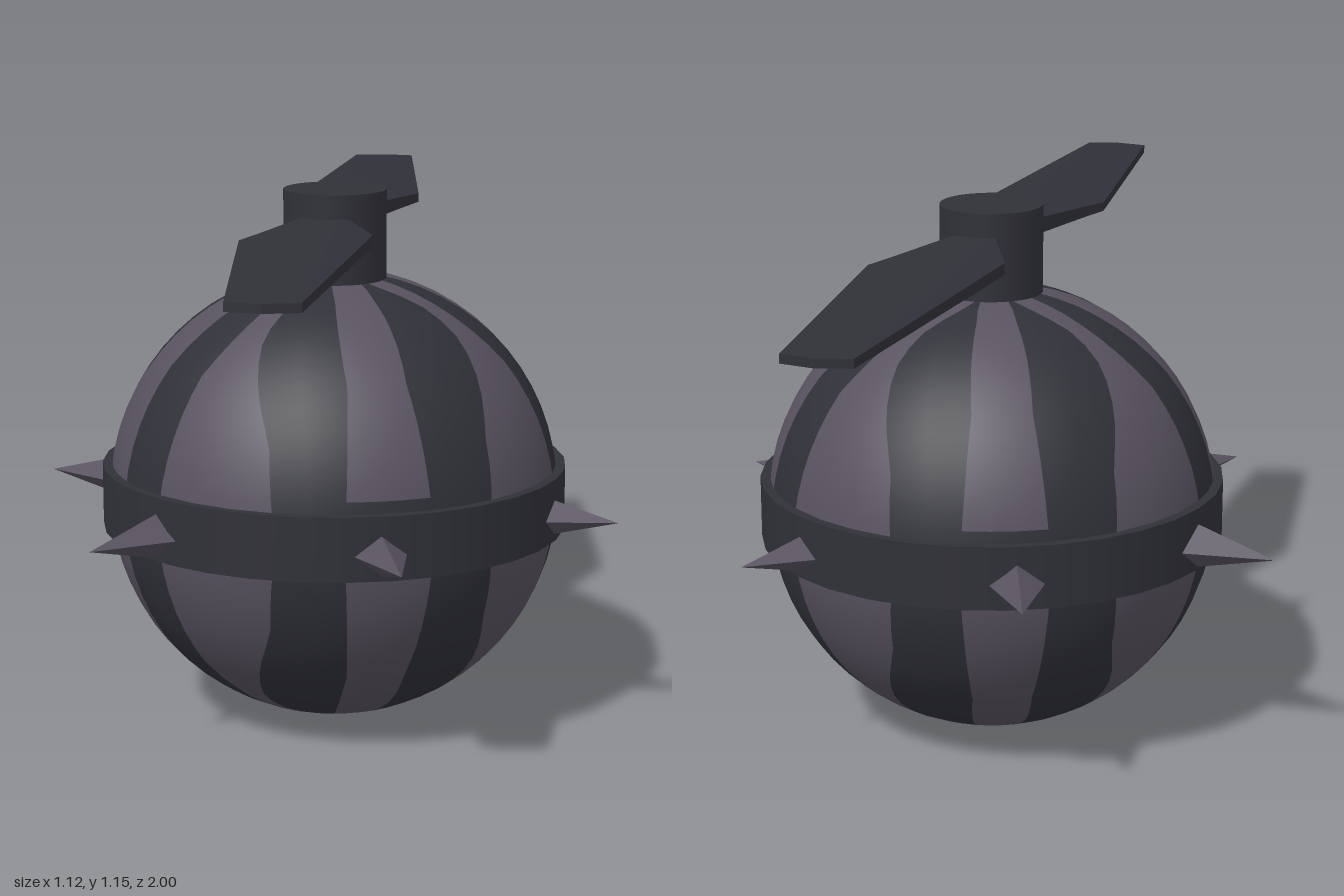
import * as THREE from 'three';

const CX = 0.025, CY = 0.49, R = 0.486;
const rad = THREE.MathUtils.degToRad;

// Piecewise linear lookup in [[x, value], ...]
function lookup(table, x) {
  for (let i = 1; i < table.length; i++) {
    const [x0, v0] = table[i - 1], [x1, v1] = table[i];
    if (x <= x1) return v0 + (v1 - v0) * (x - x0) / (x1 - x0);
  }
  return table[table.length - 1][1];
}

// Stripe edges: angle in degrees by height above or below the equator
const frontInner = [[0, 11], [0.31, 9.5], [0.45, 13], [0.486, 18]];
const frontOuter = [[0, 27.6], [0.2, 30.5], [0.34, 40], [0.39, 43], [0.433, 41], [0.46, 33], [0.475, 21], [0.486, 18]];
const sideInner = [[0, 11.5], [0.31, 11], [0.45, 15], [0.486, 18]];
const sideOuter = [[0, 28], [0.31, 30], [0.45, 38], [0.486, 42]];

// All stripe edges around the ball at one height, from the front towards +x
function edgesAt(dy) {
  const h = Math.abs(dy);
  const a = lookup(frontInner, h), b = lookup(frontOuter, h);
  const c = 90 - lookup(sideOuter, h), d = 90 - lookup(sideInner, h);
  const half = [a, b, c, d, 180 - d, 180 - c, 180 - b, 180 - a];
  return [-a, ...half, ...half.map(t => t + 180)].map(rad);
}

// Ball skin, made of strips between neighbouring edges
function ballGeometry(wantDark) {
  const rows = 32, pos = [], nor = [];
  const put = (t, phi) => {
    const n = [Math.cos(phi) * Math.sin(t), Math.sin(phi), Math.cos(phi) * Math.cos(t)];
    nor.push(...n);
    pos.push(n[0] * R, n[1] * R, n[2] * R);
  };
  for (let r = 0; r < rows; r++) {
    const p0 = (r / rows - 0.5) * Math.PI, p1 = ((r + 1) / rows - 0.5) * Math.PI;
    const e0 = edgesAt(R * Math.sin(p0)), e1 = edgesAt(R * Math.sin(p1));
    for (let s = 0; s < 16; s++) {
      // the front and back panels stop a little above the belt
      const closed = (s === 0 || s === 8) && r >= rows / 2 && r < rows / 2 + 2;
      if ((s % 2 === 1 || closed) !== wantDark) continue;
      const n = s % 2 ? 2 : 3;
      const at = (e, k) => e[s] + (e[s + 1] - e[s]) * k / n;
      for (let k = 0; k < n; k++) {
        const a = [at(e0, k), p0], b = [at(e0, k + 1), p0];
        const c = [at(e1, k + 1), p1], d = [at(e1, k), p1];
        for (const v of [a, b, c, a, c, d]) put(...v);
      }
    }
  }
  const g = new THREE.BufferGeometry();
  g.setAttribute('position', new THREE.Float32BufferAttribute(pos, 3));
  g.setAttribute('normal', new THREE.Float32BufferAttribute(nor, 3));
  return g;
}

// Flat blade that thickens towards the hub
function bladeGeometry() {
  const outline = [[0, 0.06], [0.085, 0.07], [0.205, 0.217], [0.265, 0.286], [0.43, 0.957],
    [0.37, 0.993], [0.298, 1.0], [-0.009, 0.3]];
  const shape = new THREE.Shape(outline.map(p => new THREE.Vector2(...p)));
  const g = new THREE.ExtrudeGeometry(shape, { depth: 0.018, bevelEnabled: false });
  g.translate(0, 0, -0.009);
  g.rotateX(-Math.PI / 2);
  const p = g.attributes.position;
  for (let i = 0; i < p.count; i++) {
    const r = Math.hypot(p.getX(i), p.getZ(i));
    p.setY(i, p.getY(i) * lookup([[0, 2.2], [0.1, 2.1], [0.4, 1]], r));
  }
  g.computeVertexNormals();
  return g;
}

export function createModel() {
  const model = new THREE.Group();
  model.name = 'spikedBallWithRotor';
  const material = (name, color) => {
    const m = new THREE.MeshStandardMaterial({ color });
    m.name = name;
    return m;
  };
  const violet = material('dusty violet', 0x58525f);
  const dark = material('dark slate', 0x303138);
  const add = (name, geometry, mat, x, y, z) => {
    const mesh = new THREE.Mesh(geometry, mat);
    mesh.name = name;
    mesh.position.set(x, y, z);
    model.add(mesh);
    return mesh;
  };

  // Striped ball
  add('ballPanels', ballGeometry(false), violet, CX, CY, 0.004);
  add('ballStripes', ballGeometry(true), dark, CX, CY, 0.004);

  // Belt round the middle
  add('belt', new THREE.CylinderGeometry(0.502, 0.502, 0.135, 32), dark, CX, 0.4925, 0.004);

  // Six four-sided spikes
  const spike = new THREE.ConeGeometry(1, 0.19, 4).toNonIndexed();
  spike.computeVertexNormals();
  spike.scale(0.064, 1, 0.05);
  spike.rotateX(Math.PI / 2);
  spike.translate(0, 0, 0.565);
  for (let i = 0; i < 6; i++) {
    add('spike' + (i + 1), spike, violet, 0.003, 0.478, 0).rotation.y = rad([0, 56, 122.5, 180, 235, 301][i]);
  }

  // Rotor hub and blades
  add('hub', new THREE.CylinderGeometry(0.11, 0.11, 0.2, 32), dark, CX, 1.052, 0.01);
  const blade = bladeGeometry();
  add('bladeBack', blade, dark, CX, 1.083, 0);
  add('bladeFront', blade, dark, CX, 1.083, 0).rotation.y = Math.PI;

  return model;
}
